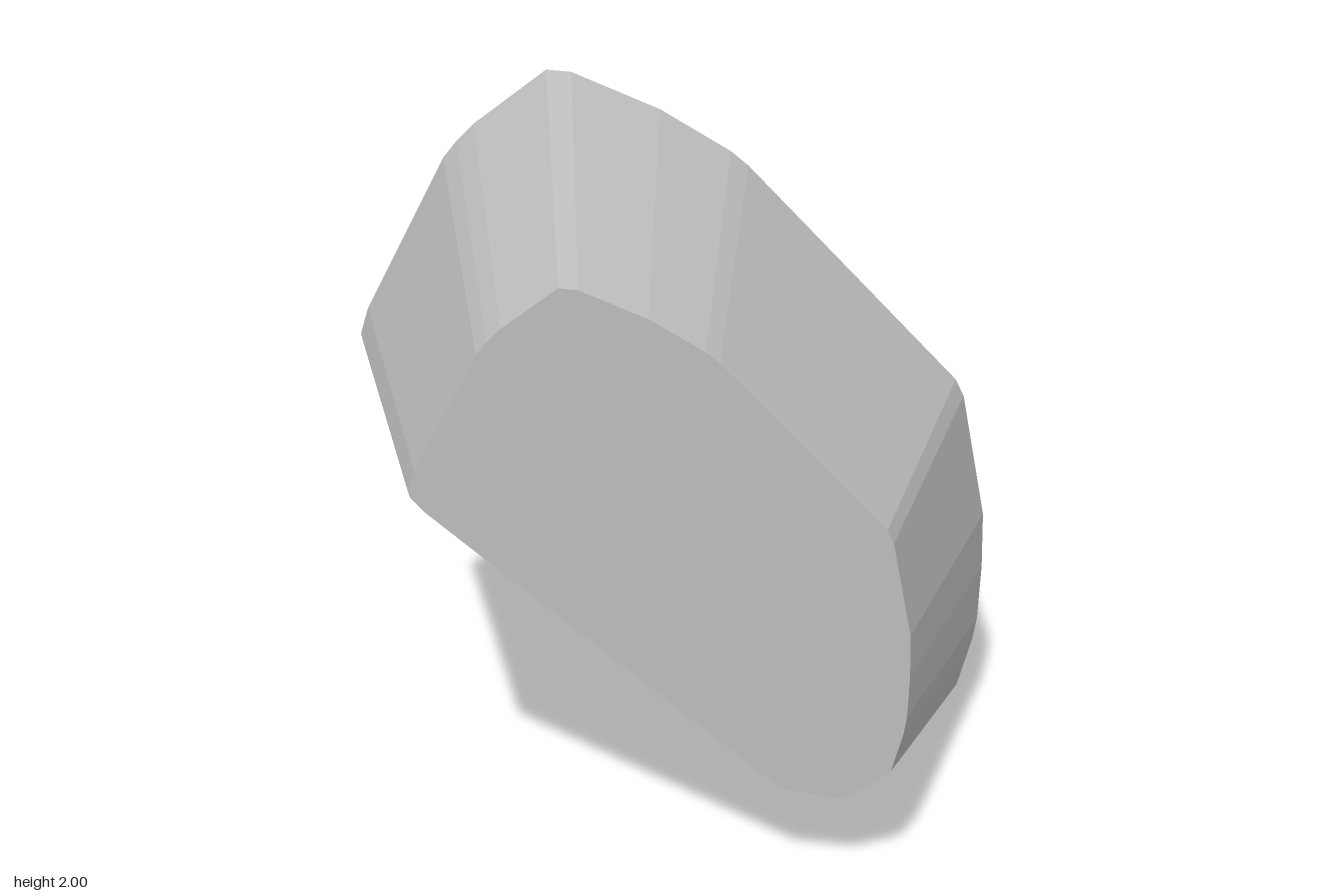
import * as THREE from 'three';

export function createModel() {
  const group = new THREE.Group();
  const stone = new THREE.MeshStandardMaterial({ color: 0xbcbcbc });
  stone.name = 'plain grey';

  // Rounded, slanted outline of the large back face, counterclockwise
  const outline = [
    [0.42, 0.06], [0.46, 0.03], [0.68, 0], [0.72, 0.015], [0.85, 0.11], [0.87, 0.13],
    [0.91, 0.29], [0.92, 0.36], [0.925, 0.53], [0.92, 0.7], [0.845, 1.07], [0.82, 1.12],
    [0.21, 1.74], [0.16, 1.78], [-0.04, 1.895], [-0.29, 1.995], [-0.36, 2],
    [-0.57, 1.84], [-0.62, 1.79], [-0.66, 1.74], [-0.9, 1.28], [-0.925, 1.2],
    [-0.92, 1.175], [-0.87, 1.12],
  ].map(([x, y]) => new THREE.Vector2(x, y));

  const depth = 0.99;
  const geometry = new THREE.ExtrudeGeometry(new THREE.Shape(outline), {
    depth, steps: 1, bevelEnabled: false,
  });
  geometry.translate(0, 0, -depth / 2);

  // Shrink the front face towards the taper's off-centre apex
  const p = geometry.attributes.position;
  for (let i = 0; i < p.count; i++) {
    if (p.getZ(i) > 0) p.setXY(i, p.getX(i) * 0.703 + 0.06, p.getY(i) * 0.7 + 0.29);
  }
  geometry.computeVertexNormals();

  const body = new THREE.Mesh(geometry, stone);
  body.name = 'taperedBlock';
  group.add(body);
  return group;
}
